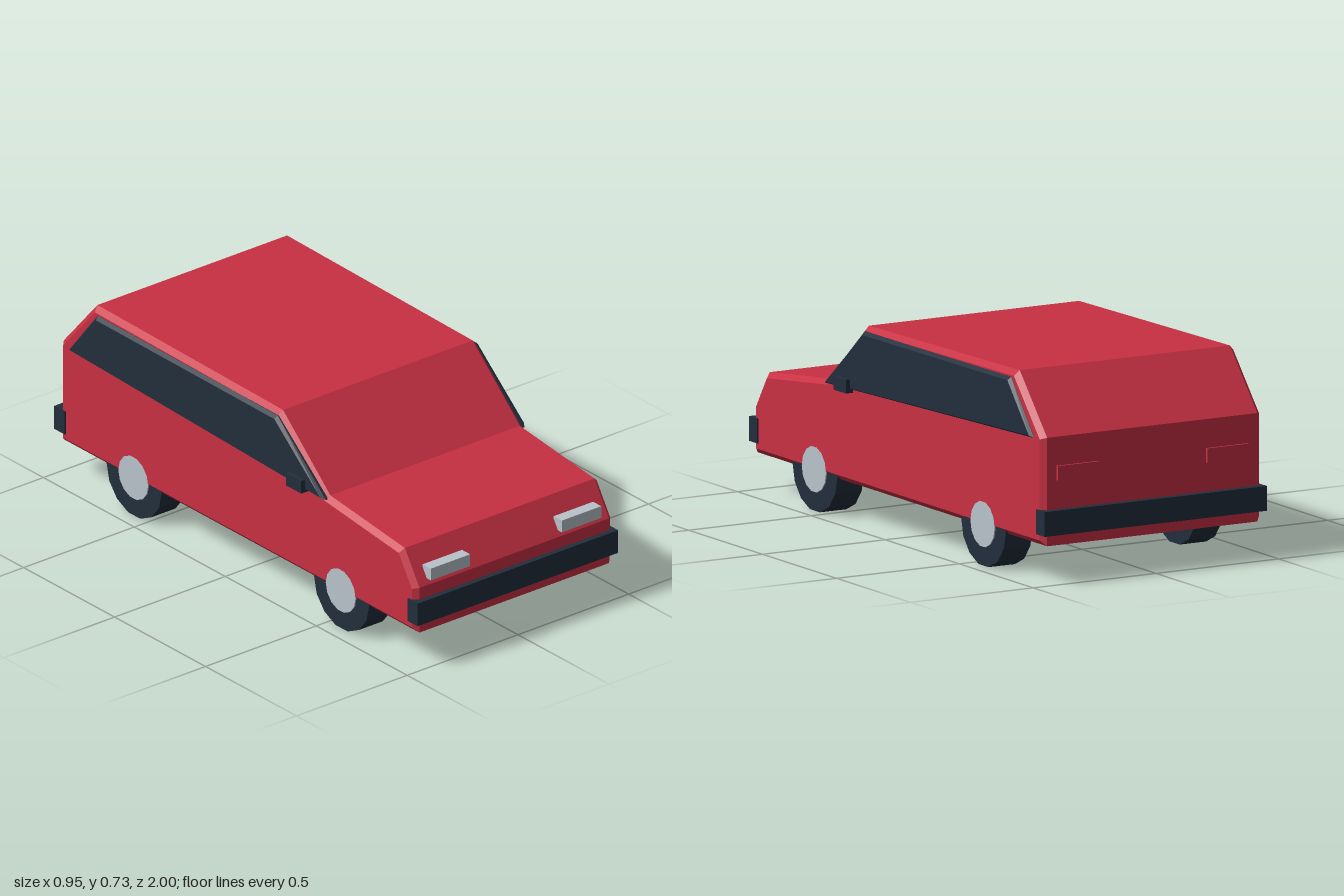
import * as THREE from 'three';

const paint = (name, color) => {
  const m = new THREE.MeshStandardMaterial({ color });
  m.name = name;
  return m;
};

export function createModel() {
  const car = new THREE.Group();
  car.name = 'car';
  const red = paint('red paint', 0xc83043);
  const dark = paint('dark trim', 0x222e3c);
  const silver = paint('silver', 0xb9c3cb);

  const add = (name, geometry, material, x = 0, y = 0, z = 0) => {
    const mesh = new THREE.Mesh(geometry, material);
    mesh.name = name;
    mesh.position.set(x, y, z);
    car.add(mesh);
    return mesh;
  };

  // Chamfered slab from a side profile of [z, y] points, centred on x
  const slab = (points, width, bevel) => {
    const shape = new THREE.Shape(points.map(([z, y]) => new THREE.Vector2(z, y)));
    const depth = width - 2 * bevel;
    return new THREE.ExtrudeGeometry(shape, {
      depth, bevelEnabled: true, bevelSegments: 1,
      bevelSize: bevel, bevelThickness: bevel, bevelOffset: -bevel,
    }).translate(0, 0, -depth / 2).rotateY(-Math.PI / 2);
  };

  // Hatchback shell
  add('body', slab([
    [0.98, 0.136], [0.98, 0.31], [0.9, 0.435], [0.49, 0.482], [0.23, 0.715],
    [-0.79, 0.731], [-0.975, 0.522], [-0.975, 0.136],
  ], 0.894, 0.019), red);

  // Bumpers
  add('frontBumper', new THREE.BoxGeometry(0.906, 0.088, 0.055), dark, 0, 0.22, 0.9725);
  add('rearBumper', new THREE.BoxGeometry(0.906, 0.088, 0.06), dark, 0, 0.22, -0.97);

  const windowGeometry = slab([
    [0.49, 0.47], [0.225, 0.698], [-0.765, 0.705], [-0.92, 0.514],
  ], 0.036, 0.012);
  const tyre = new THREE.CylinderGeometry(0.152, 0.152, 0.108, 14).rotateZ(Math.PI / 2).toNonIndexed();
  tyre.computeVertexNormals();
  const hub = new THREE.CylinderGeometry(0.082, 0.082, 0.117, 14).rotateZ(Math.PI / 2);

  for (const [side, s] of [['left', 1], ['right', -1]]) {
    // Side glass and door mirror
    add(`${side}Window`, windowGeometry, dark, s * 0.442);
    add(`${side}Mirror`, new THREE.BoxGeometry(0.036, 0.049, 0.085), dark, s * 0.459, 0.49, 0.347);
    // Lamps
    add(`${side}Headlight`, new THREE.BoxGeometry(0.178, 0.046, 0.045), silver, s * 0.296, 0.352, 0.967);
    add(`${side}TailLight`, new THREE.BoxGeometry(0.17, 0.052, 0.02), red, s * 0.305, 0.393, -0.974);
    // Wheels
    for (const [end, z] of [['Front', 0.57], ['Rear', -0.57]]) {
      add(`${side}${end}Tyre`, tyre, dark, s * 0.389, 0.148, z);
      add(`${side}${end}Hub`, hub, silver, s * 0.389, 0.148, z);
    }
  }
  return car;
}
